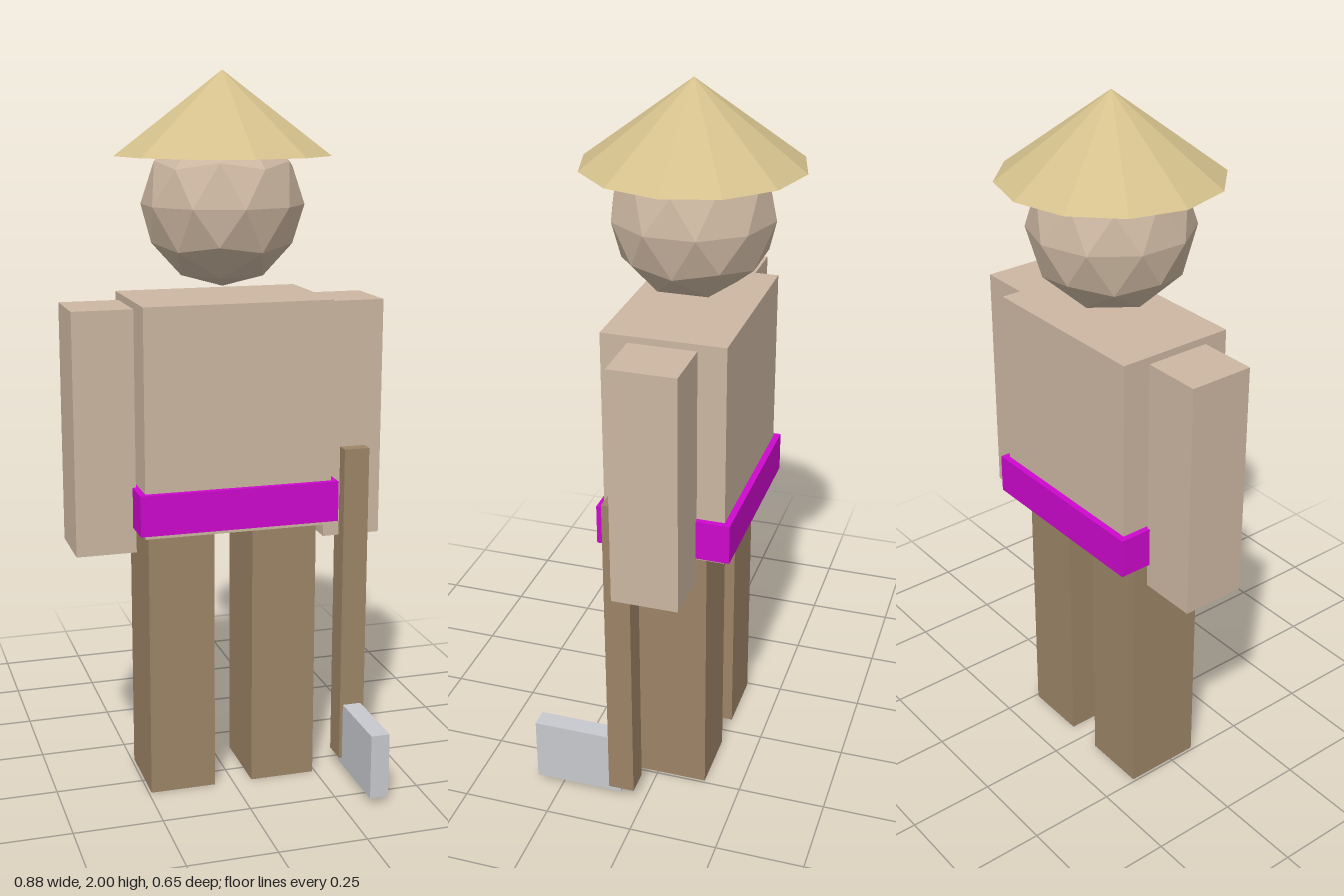
import * as THREE from 'three';

const paint = (name, color) => {
  const m = new THREE.MeshStandardMaterial({ color });
  m.name = name;
  return m;
};

export function createModel() {
  const skin = paint('skin', 0xccb7a1);
  const brown = paint('brown', 0x9d8467);
  const sash = paint('magenta', 0xcc08cc);
  const straw = paint('straw', 0xd4c08c);
  const steel = paint('steel', 0xc7c9ce);

  const model = new THREE.Group();
  model.name = 'farmer';

  const add = (name, geometry, material, x, y, z) => {
    const mesh = new THREE.Mesh(geometry, material);
    mesh.name = name;
    mesh.position.set(x, y, z);
    model.add(mesh);
    return mesh;
  };

  // Box given by its lower and upper bounds on each axis
  const box = (name, material, [x0, x1], [y0, y1], [z0, z1]) =>
    add(name, new THREE.BoxGeometry(x1 - x0, y1 - y0, z1 - z0), material,
      (x0 + x1) / 2, (y0 + y1) / 2, (z0 + z1) / 2);

  // Body
  box('torso', skin, [-0.263, 0.263], [0.772, 1.4], [-0.198, 0.139]);
  box('belt', sash, [-0.28, 0.28], [0.785, 0.898], [-0.216, 0.156]);

  // Limbs, mirrored left and right
  for (const [side, s] of [['left', 1], ['right', -1]]) {
    const span = (a, b) => (s > 0 ? [a, b] : [-b, -a]);
    box(side + 'Arm', skin, span(0.271, 0.438), [0.714, 1.385], [-0.123, 0.062]);
    box(side + 'Leg', brown, span(0.055, 0.242), [0, 0.79], [-0.143, 0.081]);
  }

  // Faceted head, turned so that one corner points straight up
  const headShape = new THREE.IcosahedronGeometry(0.222, 1);
  headShape.rotateZ(-Math.atan(2 / (1 + Math.sqrt(5))));
  headShape.computeVertexNormals(); // unshared corners give flat facets
  add('head', headShape, skin, 0, 1.648, -0.03);

  // Twelve-sided conical hat with a closed underside
  const hatShape = new THREE.ConeGeometry(0.298, 0.222, 12).toNonIndexed();
  hatShape.computeVertexNormals();
  add('hat', hatShape, straw, 0, 1.889, -0.03);

  // Hoe held at the left hand
  box('hoeHandle', brown, [0.318, 0.391], [0.041, 0.972], [0.026, 0.1]);
  box('hoeBlade', steel, [0.327, 0.381], [0.02, 0.207], [0.068, 0.324]);

  return model;
}
